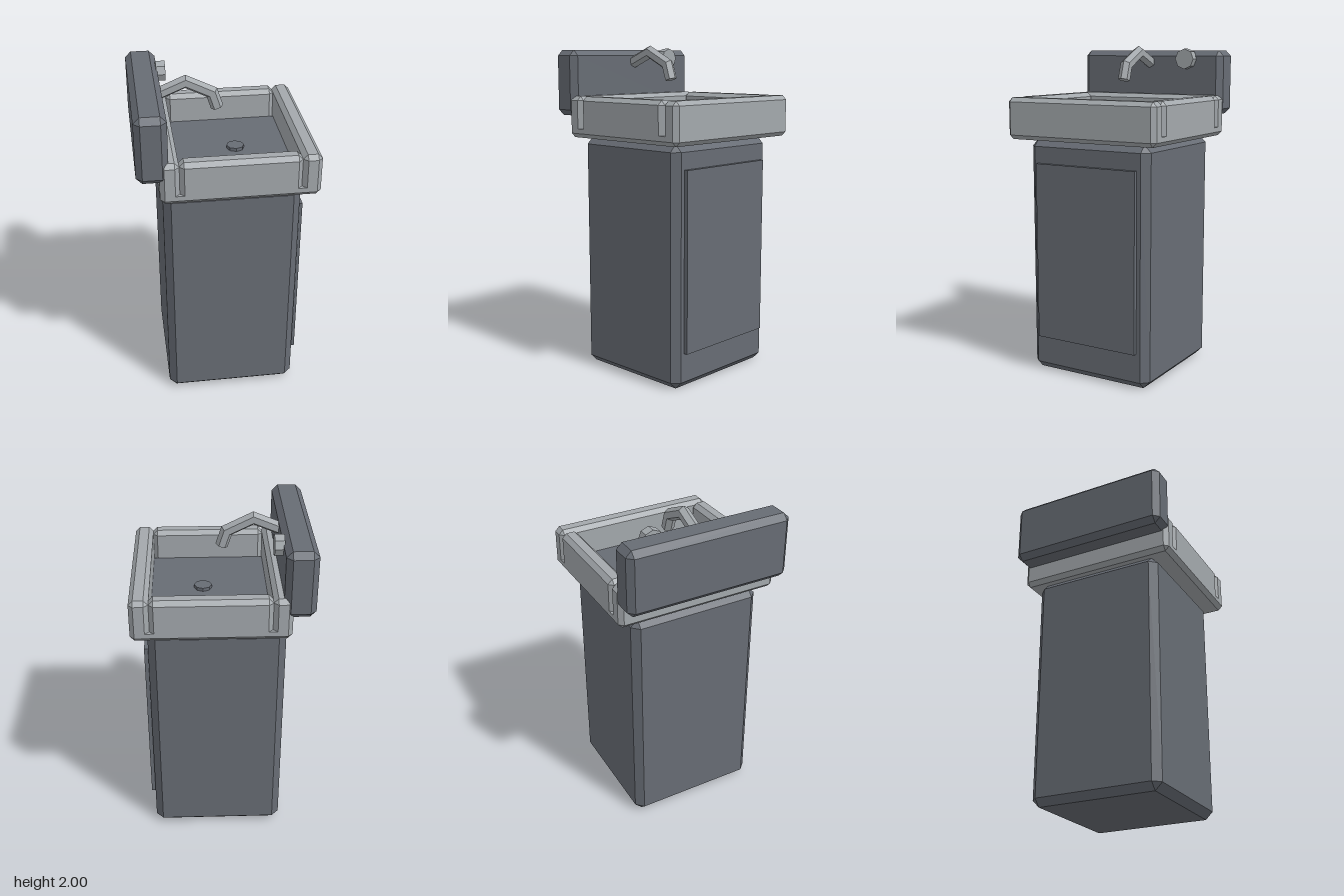
import * as THREE from 'three';
import { ConvexGeometry } from 'three/addons/geometries/ConvexGeometry.js';

const steel = new THREE.MeshStandardMaterial({ color: 0xa3a8ac });
steel.name = 'light steel';
const grey = new THREE.MeshStandardMaterial({ color: 0x676c74 });
grey.name = 'dark grey';

// Box with chamfered edges; the top or bottom edges can be left square
function chamferBox([x0, x1], [y0, y1], [z0, z1], b, top = true, bottom = true) {
  const pts = [];
  for (const [x, sx] of [[x0, 1], [x1, -1]])
    for (const [z, sz] of [[z0, 1], [z1, -1]])
      for (const [y, sy, cut] of [[y0, 1, bottom], [y1, -1, top]]) {
        const ye = cut ? y + sy * b : y;
        pts.push(new THREE.Vector3(x + sx * b, ye, z), new THREE.Vector3(x, ye, z + sz * b));
        if (cut) pts.push(new THREE.Vector3(x + sx * b, y, z + sz * b));
      }
  return new ConvexGeometry(pts);
}

// Six-sided pipe with mitred bends along a path in the xy plane
function hexPipe(path, r) {
  const P = path.map(([x, y]) => new THREE.Vector2(x, y));
  const rings = P.map((p, i) => {
    const a = p.clone().sub(P[Math.max(i - 1, 0)]).normalize();
    const c = P[Math.min(i + 1, P.length - 1)].clone().sub(p).normalize();
    const t = a.clone().add(c).normalize();
    const stretch = 1 / t.dot(i ? a : c);
    return Array.from({ length: 6 }, (_, k) => {
      const u = Math.cos(k * Math.PI / 3) * r * stretch;
      return [p.x - t.y * u, p.y + t.x * u, Math.sin(k * Math.PI / 3) * r];
    });
  });
  const v = [];
  const tri = (...corners) => corners.forEach(c => v.push(...c));
  for (let i = 0; i < rings.length - 1; i++)
    for (let k = 0; k < 6; k++) {
      const n = (k + 1) % 6, A = rings[i], B = rings[i + 1];
      tri(A[k], A[n], B[n]);
      tri(A[k], B[n], B[k]);
    }
  const first = rings[0], last = rings[rings.length - 1];
  for (let k = 1; k < 5; k++) {
    tri(first[0], first[k + 1], first[k]);
    tri(last[0], last[k], last[k + 1]);
  }
  const g = new THREE.BufferGeometry();
  g.setAttribute('position', new THREE.Float32BufferAttribute(v, 3));
  g.computeVertexNormals();
  return g;
}

// Flat-faced octagonal disc
function octagon(r, h) {
  const g = new THREE.CylinderGeometry(r, r, h, 8).toNonIndexed();
  g.computeVertexNormals();
  return g;
}

export function createModel() {
  const group = new THREE.Group();
  const add = (name, geometry, material, parent = group) => {
    const mesh = new THREE.Mesh(geometry, material);
    mesh.name = name;
    parent.add(mesh);
    return mesh;
  };

  // Cabinet with a raised service panel on its +x side
  add('cabinet', chamferBox([-0.37, 0.425], [0, 1.45], [-0.412, 0.412], 0.044), grey);
  add('servicePanel', new THREE.BoxGeometry(0.04, 1.085, 0.685), grey).position.set(0.43, 0.7625, 0);

  // Basin: slab, dark floor and four separate rim bars
  const basin = new THREE.Group();
  basin.name = 'basin';
  group.add(basin);
  const b = 0.026;
  add('basinSlab', chamferBox([-0.39, 0.515], [1.45, 1.505], [-0.505, 0.505], b, false), steel, basin);
  add('basinFloor', new THREE.BoxGeometry(0.685, 0.015, 0.8), grey, basin).position.set(0.0625, 1.5125, 0);
  for (const [name, x] of [['rimBarBack', [-0.39, -0.28]], ['rimBarFront', [0.405, 0.515]]])
    add(name, chamferBox(x, [1.505, 1.70], [-0.505, 0.505], b, true, false), steel, basin);
  for (const [name, z] of [['rimBarLeft', [0.4, 0.505]], ['rimBarRight', [-0.505, -0.4]]])
    add(name, chamferBox([-0.28, 0.405], [1.505, 1.70], z, b, true, false), steel, basin);
  add('drain', octagon(0.053, 0.02), grey, basin).position.set(0.1, 1.53, 0);

  // Upright splash block with push button and spout
  add('splashBlock', chamferBox([-0.517, -0.337], [1.58, 1.976], [-0.505, 0.505], 0.035), grey);
  const button = add('pushButton', octagon(0.063, 0.055), steel);
  button.rotation.z = -Math.PI / 2;
  button.position.set(-0.317, 1.923, -0.272);
  add('spout', hexPipe([[-0.345, 1.9], [-0.193, 1.963], [-0.04, 1.888], [-0.01, 1.796]], 0.037), steel);

  return group;
}
